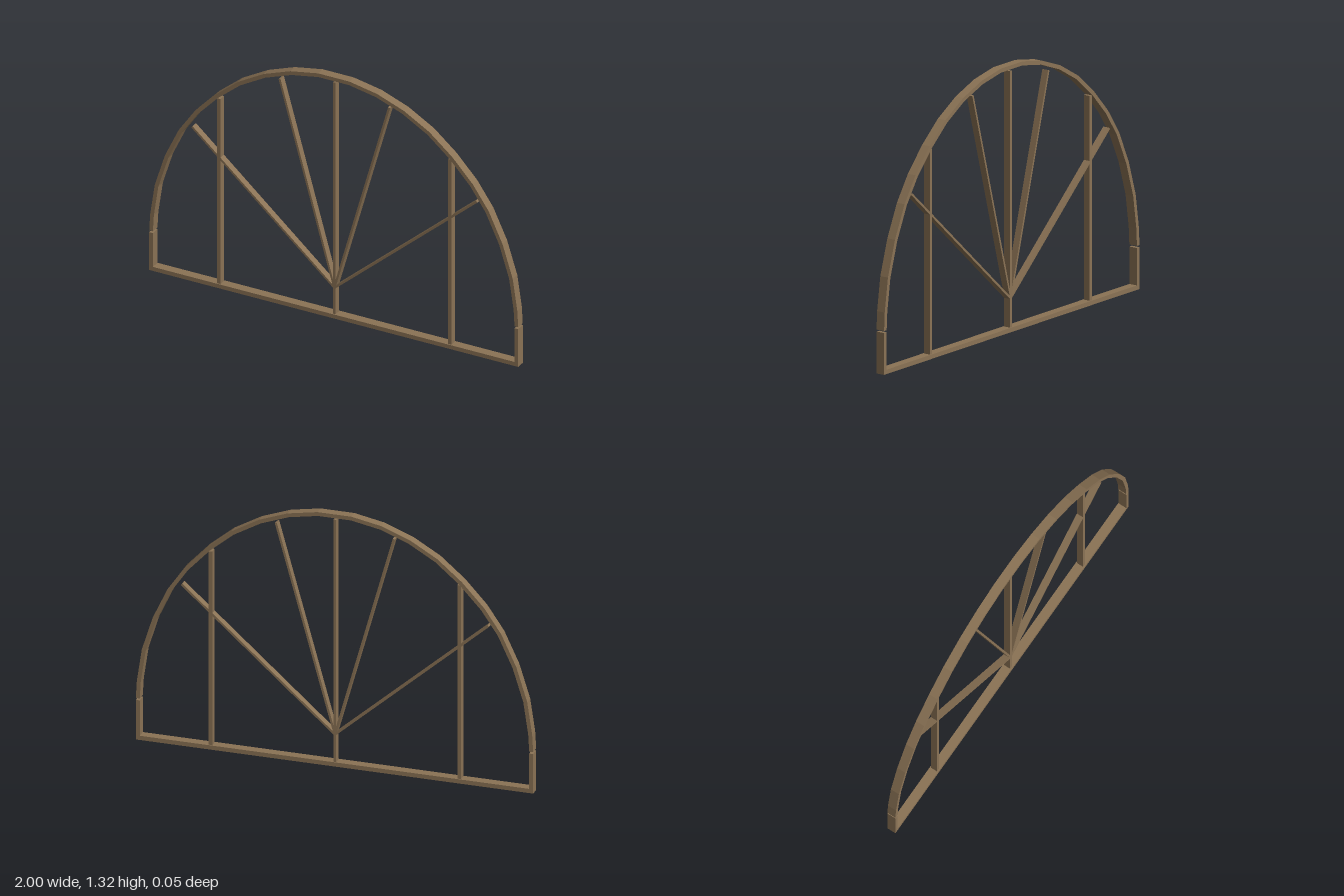
import * as THREE from 'three';

export function createModel() {
  const group = new THREE.Group();
  group.name = 'archedWindowFrame';
  const wood = new THREE.MeshStandardMaterial({ color: 0x8b7355, flatShading: true });
  const frameDepth = 0.046, barDepth = 0.035, thick = 0.02;

  function add(name, geometry) {
    const mesh = new THREE.Mesh(geometry, wood);
    mesh.name = name;
    group.add(mesh);
    return mesh;
  }

  // Straight bar between two points in the window plane
  function bar(name, x1, y1, x2, y2, width, depth) {
    const length = Math.hypot(x2 - x1, y2 - y1);
    const mesh = add(name, new THREE.BoxGeometry(width, length, depth));
    mesh.position.set((x1 + x2) / 2, (y1 + y2) / 2, 0);
    mesh.rotation.z = -Math.atan2(x2 - x1, y2 - y1);
  }

  // Faceted arch: outer points of the right half, mirrored, then offset inwards
  const half = [
    [1, 0.217], [0.995, 0.307], [0.97, 0.475], [0.915, 0.65], [0.84, 0.81], [0.754, 0.935],
    [0.642, 1.055], [0.519, 1.158], [0.38, 1.238], [0.235, 1.292], [0.085, 1.32],
  ].map(([x, y]) => new THREE.Vector2(x, y));
  const outer = [...half, ...half.map((p) => new THREE.Vector2(-p.x, p.y)).reverse()];
  const last = outer.length - 1;
  const inner = outer.map((p, i) => {
    if (i === 0 || i === last) return new THREE.Vector2(p.x - Math.sign(p.x) * thick, p.y);
    const t = outer[i + 1].clone().sub(outer[i - 1]).normalize();
    return new THREE.Vector2(p.x - t.y * thick, p.y + t.x * thick);
  });
  const arch = new THREE.ExtrudeGeometry(new THREE.Shape([...outer, ...inner.reverse()]), {
    depth: frameDepth, bevelEnabled: false,
  });
  arch.translate(0, 0, -frameDepth / 2);
  add('arch', arch);

  // Sill and centre mullion
  bar('sill', -1, 0.011, 1, 0.011, 0.022, frameDepth);
  group.getObjectByName('sill').geometry = new THREE.BoxGeometry(0.022, 2, frameDepth);
  bar('centreMullion', 0, 0.022, 0, 1.29, 0.014, barDepth);

  // Mirrored jambs, side mullions and fan spokes
  for (const [side, s] of [['left', 1], ['right', -1]]) {
    bar(side + 'Jamb', s * 0.99, 0.022, s * 0.99, 0.207, thick, frameDepth);
    bar(side + 'Mullion', s * 0.626, 0.022, s * 0.626, 1.035, 0.018, barDepth);
    bar(side + 'UpperSpoke', 0, 0.165, s * 0.297, 1.23, 0.011, barDepth);
    bar(side + 'LowerSpoke', 0, 0.165, s * 0.772, 0.842, 0.011, barDepth);
  }
  return group;
}
